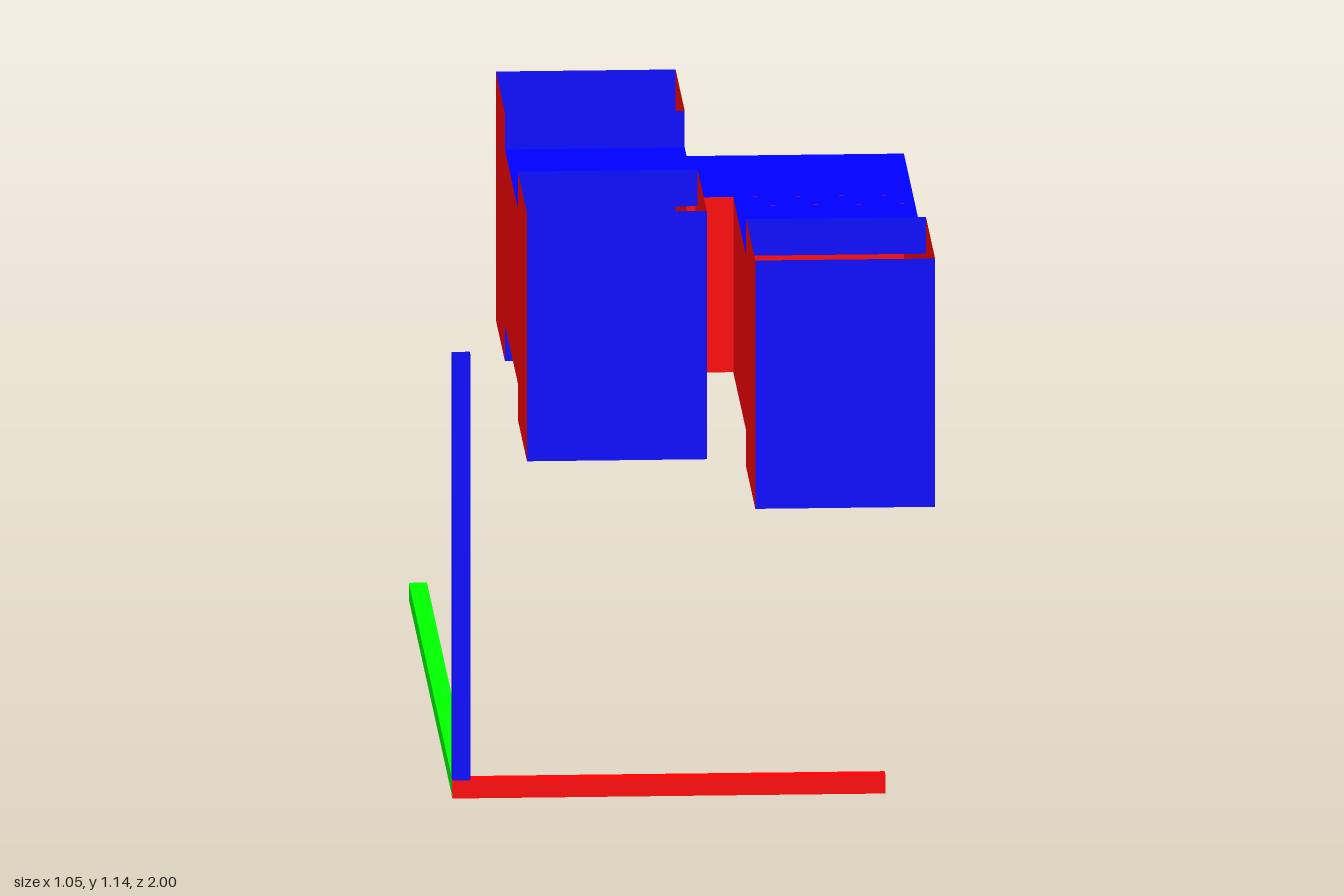
import * as THREE from 'three';

const CELL = 0.388, PITCH = 0.469, GAP = PITCH - CELL;
const makeMaterial = (color) =>
  new THREE.MeshStandardMaterial({ color, side: THREE.DoubleSide });

// Thin walls on the chosen sides of a box, e.g. { '+x': red, '-y': blue }
function walls(name, center, size, sides) {
  const group = new THREE.Group();
  group.name = name;
  for (const [side, material] of Object.entries(sides)) {
    const sign = side[0] === '+' ? 1 : -1;
    const axis = side[1];
    const [sx, sy, sz] = size;
    const dims = { x: [sz, sy], y: [sx, sz], z: [sx, sy] }[axis];
    const wall = new THREE.Mesh(new THREE.PlaneGeometry(...dims), material);
    if (axis === 'x') wall.rotation.y = sign * Math.PI / 2;
    if (axis === 'y') wall.rotation.x = -sign * Math.PI / 2;
    if (axis === 'z' && sign < 0) wall.rotation.y = Math.PI;
    wall.position[axis] = sign * size['xyz'.indexOf(axis)] / 2;
    wall.name = name + 'Wall';
    group.add(wall);
  }
  group.position.set(...center);
  return group;
}

export function createModel() {
  const model = new THREE.Group();
  const red = makeMaterial(0xff0000);
  const green = makeMaterial(0x00ff00);
  const blue = makeMaterial(0x0000ff);
  const sideColor = { x: red, y: blue, z: blue };

  // Cell centres on the grid
  const y = 0.862, right = 0.328, left = right - PITCH;
  const z = [0, 1, 2, 3].map((i) => 0.608 - i * 0.47);
  const cube = [CELL, CELL, CELL];
  const pick = (keys, zColor = blue) => Object.fromEntries(
    keys.map((k) => [k, k[1] === 'z' ? zColor : sideColor[k[1]]]));

  // Horizontal body cells, open towards their neighbours
  model.add(
    walls('middleCell', [right, y, z[1]], cube, pick(['+x', '-x', '+y', '-y'])),
    walls('cornerCell', [right, y, z[2]], cube, pick(['+x', '+y', '-y', '-z'], red)),
    walls('junctionCell', [left, y, z[2]], cube, pick(['-x', '+y', '-y'])));

  // Short connectors bridging the gaps between cells
  for (const [x, i] of [[right, 0], [right, 1], [left, 1], [left, 2]]) {
    model.add(walls('connector', [x, y, (z[i] + z[i + 1]) / 2],
      [CELL, CELL, GAP], pick(['+x', '-x', '+y', '-y'])));
  }
  model.add(walls('crossConnector', [(left + right) / 2, y, z[2]],
    [GAP, CELL, CELL], pick(['+y', '-y', '+z', '-z'], red)));

  // Open towers: a three-walled cell with a collar above and below
  for (const [x, tz, closed] of [[right, z[0], '+z'], [left, z[1], '+z'], [left, z[3], '-z']]) {
    const tower = new THREE.Group();
    tower.name = 'tower';
    tower.add(walls('towerCell', [x, y, tz], cube, pick(['+x', '-x', closed])));
    for (const s of [1, -1]) {
      tower.add(walls('towerCollar', [x, y + s * PITCH / 2, tz],
        [CELL, GAP, CELL], pick(['+x', '-x', '+z', '-z'])));
    }
    model.add(tower);
  }

  // Axis beams: open-ended square tubes meeting at the front corner
  const T = 0.039, c = -0.51, front = 0.98;
  const tube = (axis, material) => Object.fromEntries(
    ['x', 'y', 'z'].filter((a) => a !== axis)
      .flatMap((a) => [['+' + a, material], ['-' + a, material]]));
  model.add(
    walls('widthBeam', [-0.0625, 0.02, front], [0.935, T + 0.001, T + 0.001], tube('x', red)),
    walls('depthBeam', [c, 0.02, 0.0615], [T, T - 0.001, 1.843], tube('z', green)),
    walls('heightBeam', [c, 0.51, front], [T, 0.94, T], tube('y', blue)));
  return model;
}
